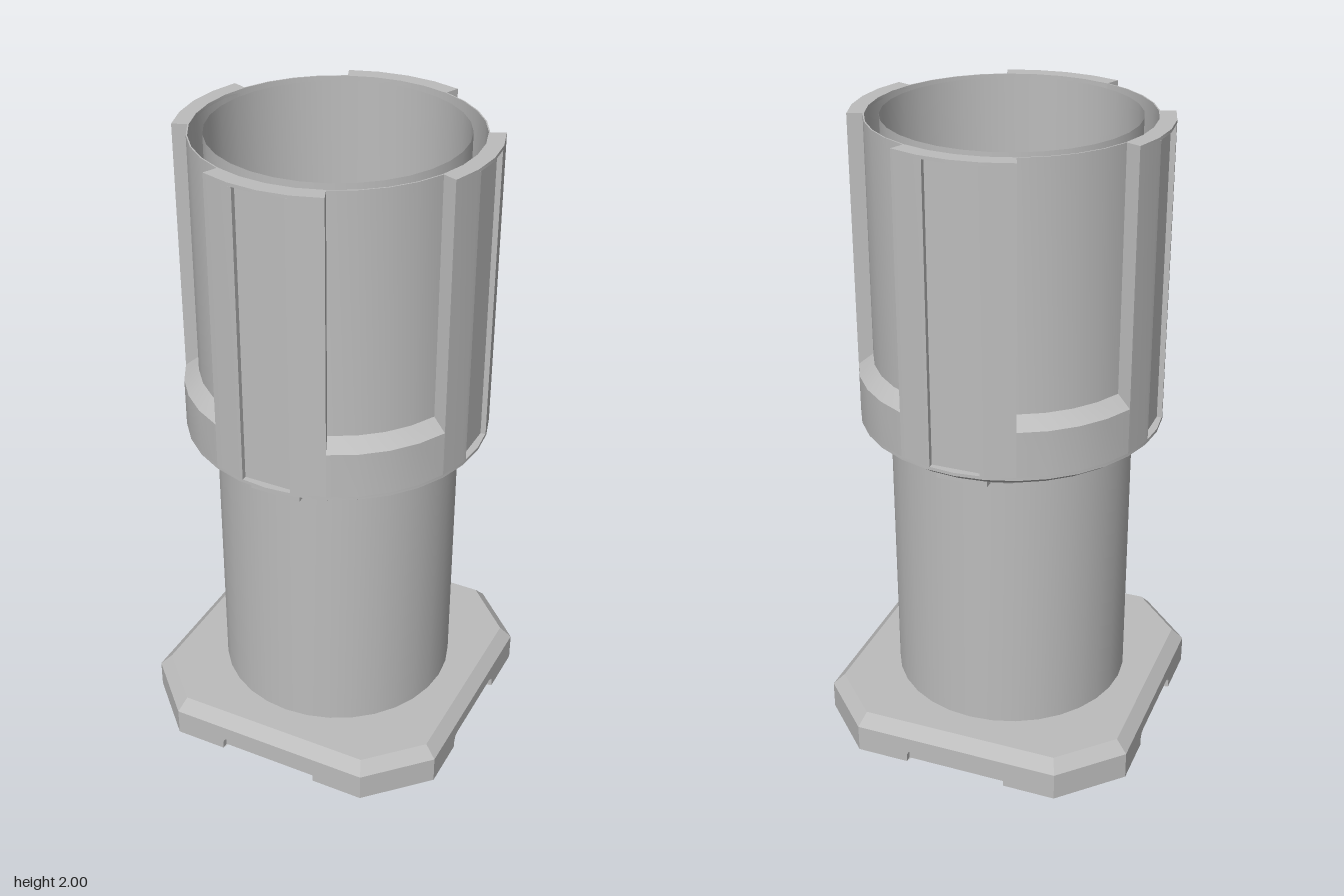
import * as THREE from 'three';
import { toCreasedNormals } from 'three/addons/utils/BufferGeometryUtils.js';

const grey = new THREE.MeshStandardMaterial({ color: 0xbcbcbc, side: THREE.DoubleSide });
const RAD = Math.PI / 180;

function mesh(name, geometry) {
  const g = geometry.index ? geometry.toNonIndexed() : geometry;
  const m = new THREE.Mesh(toCreasedNormals(g, 0.4), grey);
  m.name = name;
  return m;
}

// Point on a circle, measured from the +z axis once laid flat
const polar = (r, deg) => new THREE.Vector2(r * Math.sin(deg * RAD), -r * Math.cos(deg * RAD));

// Flat outline raised from y0 to y1
function prism(points, y0, y1) {
  const g = new THREE.ExtrudeGeometry(new THREE.Shape(points), { depth: y1 - y0, bevelEnabled: false });
  return g.rotateX(-Math.PI / 2).translate(0, y0, 0);
}

// Ring segment centred on the front, optionally with a groove in its outer face
function sectorOutline(rIn, rOut, half, groove) {
  const inner = [1, 0.5, 0, -0.5, -1].map((t) => polar(rIn, t * half));
  if (!groove) return [...[-1, -0.5, 0, 0.5, 1].map((t) => polar(rOut, t * half)), ...inner];
  const edge = Math.asin(groove.half / rOut) / RAD;
  return [
    polar(rOut, -half), polar(rOut, -half / 2), polar(rOut, -edge),
    new THREE.Vector2(-groove.half, -groove.r), new THREE.Vector2(groove.half, -groove.r),
    polar(rOut, edge), polar(rOut, half / 2), polar(rOut, half), ...inner,
  ];
}

function lathe(profile, segments, start = 0, length = Math.PI * 2) {
  return new THREE.LatheGeometry(profile.map(([r, y]) => new THREE.Vector2(r, y)), segments, start, length);
}

// Octagonal foot: outline rings with a shallow slot in each of the four sides
function footGeometry() {
  const ring = (y, h, c, w, d) => {
    const out = [];
    for (let k = 0; k < 4; k++) {
      const a = k * Math.PI / 2;
      for (const [x, z] of [[-c, h], [-w, h], [-w, h - d], [w, h - d], [w, h], [c, h]]) {
        out.push([x * Math.cos(a) + z * Math.sin(a), y, z * Math.cos(a) - x * Math.sin(a)]);
      }
    }
    return out;
  };
  const rings = [
    ring(0, 0.51, 0.333, 0.165, 0.02),
    ring(0.025, 0.51, 0.333, 0.165, 0.02),
    ring(0.04, 0.51, 0.333, 0.157, 0.02),
    ring(0.045, 0.51, 0.333, 0.14, 0.02),
    ring(0.045, 0.51, 0.333, 0.14, 0),
    ring(0.09, 0.51, 0.333, 0.14, 0),
    ring(0.128, 0.474, 0.318, 0.14, 0),
  ];
  const n = rings[0].length, top = rings.length - 1, pos = [];
  for (let j = 0; j < n; j++) {
    const k = (j + 1) % n;
    for (let i = 0; i < top; i++) {
      const a = rings[i][j], b = rings[i][k], c = rings[i + 1][k], d = rings[i + 1][j];
      pos.push(...a, ...b, ...c, ...a, ...c, ...d);
    }
    pos.push(0, 0, 0, ...rings[0][k], ...rings[0][j]);
    pos.push(0, 0.128, 0, ...rings[top][j], ...rings[top][k]);
  }
  const g = new THREE.BufferGeometry();
  g.setAttribute('position', new THREE.Float32BufferAttribute(pos, 3));
  return g;
}

// Curved lip whose ends taper towards the bottom
function lipGeometry() {
  const g = prism(sectorOutline(0.378, 0.412, 28), 1.012, 1.04);
  const p = g.attributes.position;
  for (let i = 0; i < p.count; i++) {
    if (p.getY(i) > 1.02) continue;
    const r = Math.min(Math.hypot(p.getX(i), p.getZ(i)), 0.4);
    const a = Math.atan2(p.getX(i), p.getZ(i)) * 0.75;
    p.setX(i, r * Math.sin(a));
    p.setZ(i, r * Math.cos(a));
  }
  return g;
}

export function createModel() {
  const model = new THREE.Group();
  model.name = 'post';

  model.add(mesh('foot', footGeometry()));

  // Hollow column running up through the sleeve
  const tube = new THREE.CylinderGeometry(0.378, 0.378, 1.872, 32, 1, true).translate(0, 1.064, 0);
  model.add(mesh('column', tube));

  // Sleeve: thin wall with a chamfered collar closing its lower end
  const sleeve = new THREE.Group();
  sleeve.name = 'sleeve';
  sleeve.add(mesh('sleeveWall', lathe([
    [0.378, 1.04], [0.435, 1.035], [0.47, 1.06], [0.47, 1.07], [0.424, 1.07],
    [0.424, 2], [0.42, 2], [0.42, 1.045], [0.378, 1.045],
  ], 32)));

  const panel = prism(sectorOutline(0.42, 0.47, 22.5, { half: 0.078, r: 0.447 }), 1.07, 1.99);
  const panelCap = prism(sectorOutline(0.42, 0.47, 22.5), 1.99, 2);
  const ledge = lathe([[0.42, 1.07], [0.47, 1.07], [0.47, 1.215], [0.424, 1.25]], 4, Math.PI / 8, Math.PI / 4);
  const lip = lipGeometry();
  const tab = new THREE.BoxGeometry(0.16, 0.045, 0.028).translate(0, 1.03, 0.397);

  // Four grooved panels with recesses between them
  for (let k = 0; k < 4; k++) {
    const quarter = new THREE.Group();
    quarter.name = 'sleeveQuarter';
    quarter.add(
      mesh('groovedPanel', panel), mesh('panelCap', panelCap),
      mesh('recessLedge', ledge), mesh('lowerLip', lip), mesh('lowerTab', tab),
    );
    quarter.rotation.y = k * Math.PI / 2;
    sleeve.add(quarter);
  }
  model.add(sleeve);
  return model;
}
